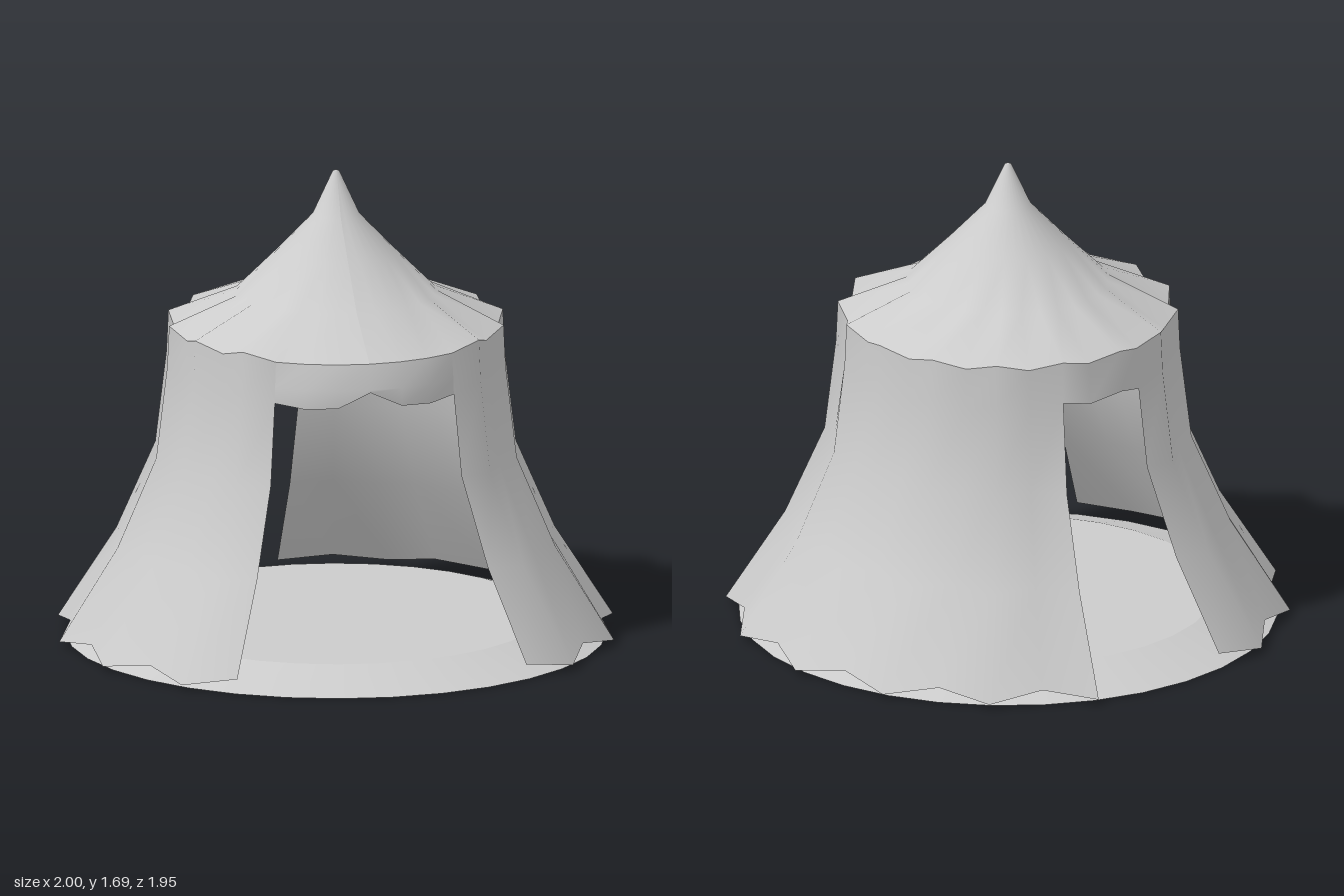
import * as THREE from 'three';

const FOLDS = 32; // columns round the tent: even = ridge, odd = valley
const CENTRE_Z = 0.015;

// Profiles as [radius, height], from the bottom up
const wallRidge = [[1, 0.02], [0.79, 0.35], [0.65, 0.67], [0.61, 1.0], [0.603, 1.15]];
const wallValley = [[0.94, 0.05], [0.75, 0.37], [0.62, 0.68], [0.582, 0.97], [0.572, 1.12]];
const roofUpper = [[0.355, 1.25], [0.21, 1.395], [0.083, 1.53], [0.012, 1.685], [0.0005, 1.69]];

const isRidge = (k) => Math.abs(k) % 2 === 0;
const isFront = (k) => Math.abs(k) <= 3 || k >= FOLDS - 3;

// Cloth surface from column profiles; skip(k, row) leaves openings
function cloth(name, from, to, profile, material, skip = () => false) {
  const positions = [];
  const index = [];
  const rows = profile(from).length;
  for (let k = from; k <= to; k++) {
    const angle = (k / FOLDS) * Math.PI * 2;
    for (const [r, y] of profile(k)) {
      positions.push(r * Math.sin(angle), y, r * Math.cos(angle));
    }
  }
  for (let k = from; k < to; k++) {
    for (let row = 0; row < rows - 1; row++) {
      if (skip(k, row)) continue;
      const a = (k - from) * rows + row;
      const b = a + rows;
      index.push(a, b, b + 1, a, b + 1, a + 1);
    }
  }
  const geometry = new THREE.BufferGeometry();
  geometry.setAttribute('position', new THREE.Float32BufferAttribute(positions, 3));
  geometry.setIndex(index);
  geometry.computeVertexNormals();
  const mesh = new THREE.Mesh(geometry, material);
  mesh.name = name;
  return mesh;
}

export function createModel() {
  const group = new THREE.Group();
  group.name = 'tent';
  const solid = new THREE.MeshStandardMaterial({ color: 0xcccccc });
  const fabric = new THREE.MeshStandardMaterial({ color: 0xcccccc, side: THREE.DoubleSide });

  // Low sloping floor
  const floor = new THREE.Mesh(new THREE.CylinderGeometry(0.735, 0.955, 0.07, 32), solid);
  floor.name = 'floor';
  floor.position.y = 0.035;
  group.add(floor);

  // Flared, folded wall: wide open front, half doorway at the back
  group.add(cloth('wall', 3, FOLDS - 3,
    (k) => (isRidge(k) ? wallRidge : wallValley), fabric,
    (k, row) => row < 3 && k >= 16 && k < 19));

  // Short valance over the front doorway, with a wavy hem
  const hem = [1.02, 0.965, 0.96, 0.972];
  group.add(cloth('valance', -3, 3, (k) => {
    const i = Math.abs(k);
    return i === 3
      ? [[0.582, hem[3]], [0.58, 1.03], [0.572, 1.12]]
      : [[0.592, hem[i]], [0.594, 1.03], [0.572, 1.12]];
  }, fabric));

  // Pointed roof whose eave follows the folds, plain across the front
  group.add(cloth('roof', 0, FOLDS, (k) => {
    const eave = isRidge(k) && !isFront(k) ? wallRidge[4] : wallValley[4];
    return [eave, ...roofUpper];
  }, fabric));

  for (const part of group.children) part.position.z = CENTRE_Z;
  return group;
}
